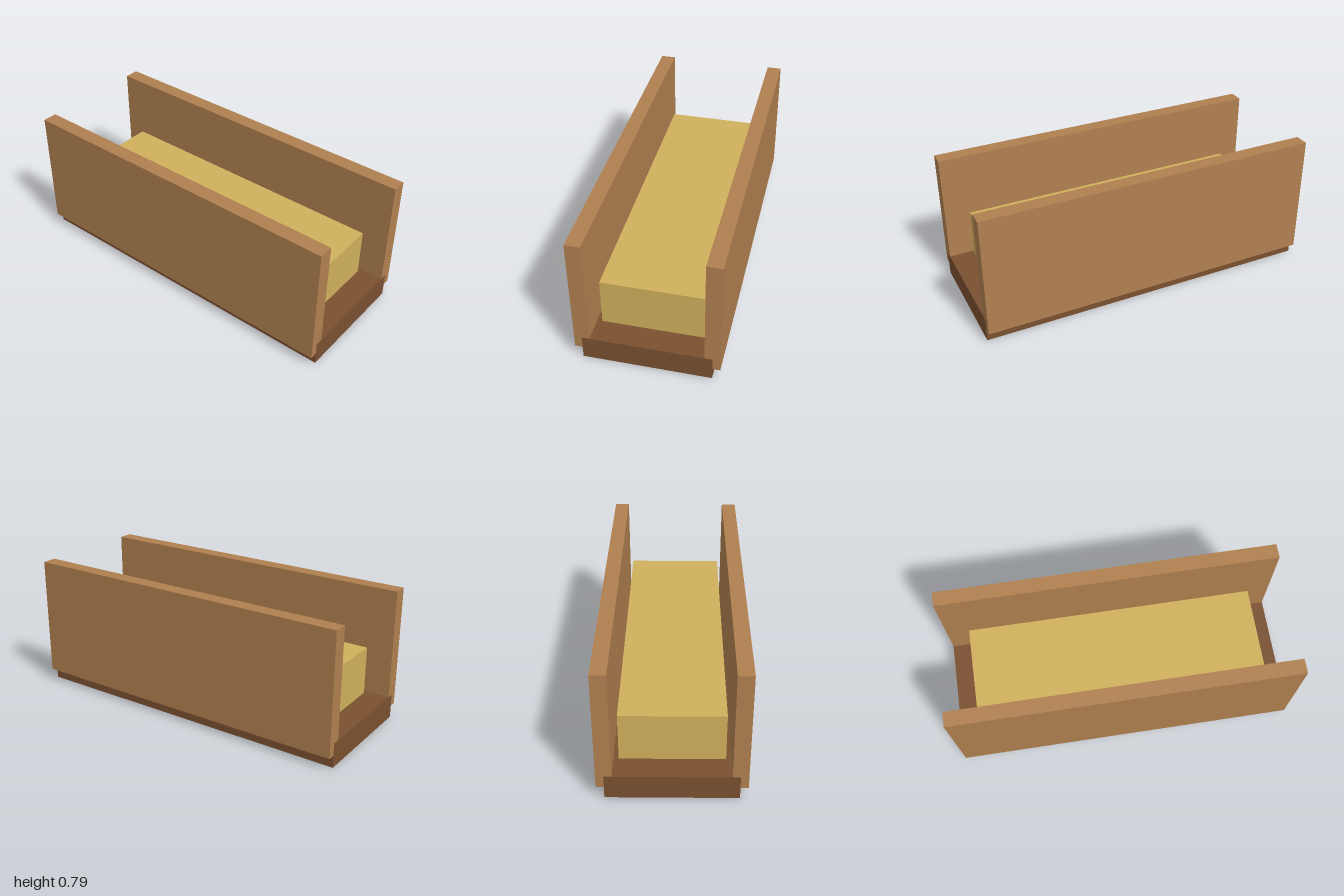
import * as THREE from 'three';

export function createModel() {
  const model = new THREE.Group();
  model.name = 'trough';

  const darkWood = new THREE.MeshStandardMaterial({ color: 0x7a5030 });
  const lightWood = new THREE.MeshStandardMaterial({ color: 0xb08050 });
  const straw = new THREE.MeshStandardMaterial({ color: 0xd0b05c });

  // Box resting with its underside at the given height
  function addBox(name, material, [w, h, d], bottom, z = 0) {
    const mesh = new THREE.Mesh(new THREE.BoxGeometry(w, h, d), material);
    mesh.name = name;
    mesh.position.set(0, bottom + h / 2, z);
    model.add(mesh);
  }

  // Floor plank
  addBox('base', darkWood, [2, 0.143, 0.714], 0);

  // Long side boards, let into the base edges; a hair shorter so the end faces do not coincide
  for (const [name, side] of [['frontBoard', 1], ['backBoard', -1]]) {
    addBox(name, lightWood, [1.999, 0.714, 0.086], 0.0715, side * 0.357);
  }

  // Block of filling lying on the base
  addBox('filling', straw, [1.714, 0.286, 0.571], 0.143);

  return model;
}
